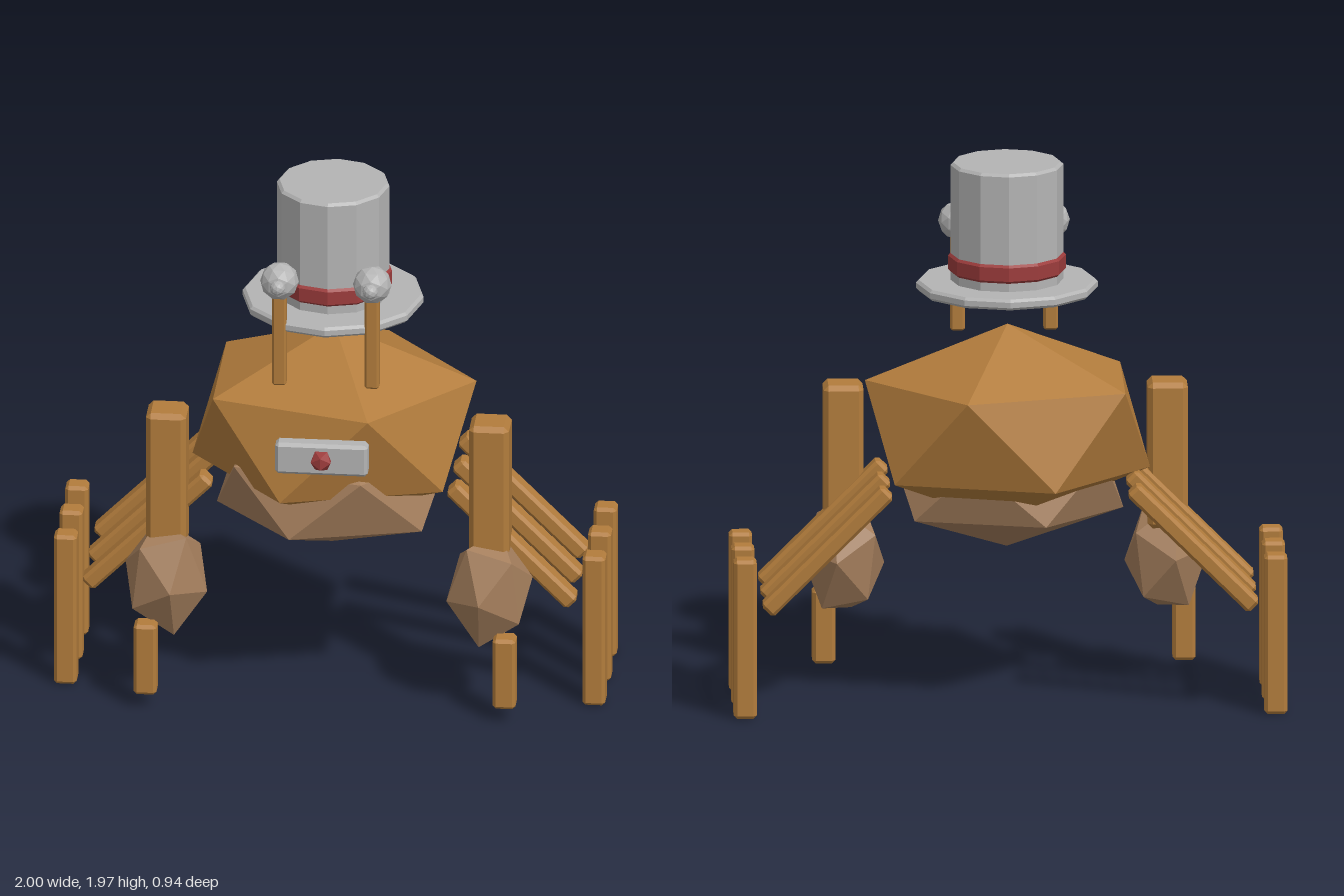
import * as THREE from 'three';
import { ConvexGeometry } from 'three/addons/geometries/ConvexGeometry.js';

const paint = (name, color) => {
  const m = new THREE.MeshStandardMaterial({ color, flatShading: true });
  m.name = name;
  return m;
};

// Twelve corners of an upright icosahedron with a ring corner on +x
function icoPoints() {
  const pts = [new THREE.Vector3(0, 1, 0), new THREE.Vector3(0, -1, 0)];
  const h = 1 / Math.sqrt(5), r = 2 * h;
  for (let i = 0; i < 5; i++) {
    const a = (i * Math.PI * 2) / 5, b = a + Math.PI / 5;
    pts.push(new THREE.Vector3(r * Math.cos(a), h, r * Math.sin(a)));
    pts.push(new THREE.Vector3(r * Math.cos(b), -h, r * Math.sin(b)));
  }
  return pts;
}

// Faceted stone stretched by its radii
const rock = (rx, ry, rz) =>
  new ConvexGeometry(icoPoints().map((p) => p.multiply(new THREE.Vector3(rx, ry, rz))));

// Tilted stone fitted to a box of half sizes, mirrored by side
function tiltedRock(half, side) {
  const turn = new THREE.Euler(0, 0.85, 0.16, 'ZYX');
  const pts = icoPoints().map((p) => p.applyAxisAngle(new THREE.Vector3(0, 0, 1), 0.554).applyEuler(turn));
  const size = new THREE.Box3().setFromPoints(pts).max;
  return new ConvexGeometry(pts.map((p) => p.divide(size).multiply(half).multiply(new THREE.Vector3(side, 1, 1))));
}

// Box with chamfered edges
function bevelBox(w, h, d, b = 0.012) {
  const pts = [];
  for (const x of [-1, 1]) for (const y of [-1, 1]) for (const z of [-1, 1]) {
    for (let axis = 0; axis < 3; axis++) {
      const c = [0, 1, 2].map((i) => [w, h, d][i] / 2 - (i === axis ? 0 : b));
      pts.push(new THREE.Vector3(x * c[0], y * c[1], z * c[2]));
    }
  }
  return new ConvexGeometry(pts);
}

// Twelve-sided disc with chamfered rims
function bevelDisc(r, y0, y1, b = 0.01) {
  const profile = [[0, y0], [r - b, y0], [r, y0 + b], [r, y1 - b], [r - b, y1], [0, y1]];
  return new THREE.LatheGeometry(profile.map(([x, y]) => new THREE.Vector2(x, y)), 12);
}

export function createModel() {
  const model = new THREE.Group();
  model.name = 'hattedCrab';
  const brown = paint('brown', 0xb27c3c);
  const tan = paint('tan', 0xa47e5c);
  const grey = paint('grey', 0xb4b4b4);
  const red = paint('red', 0x9c3c3c);

  const add = (name, geometry, material, x, y, z) => {
    const mesh = new THREE.Mesh(geometry, material);
    mesh.name = name;
    mesh.position.set(x, y, z);
    model.add(mesh);
    return mesh;
  };

  // Shell and belly
  add('shell', rock(0.575, 0.37, 0.475), brown, 0, 1.017, -0.065);
  add('belly', rock(0.47, 0.253, 0.365), tan, 0, 0.803, -0.01);

  // Mouth plate with its round nose
  add('mouthPlate', bevelBox(0.335, 0.122, 0.064), grey, 0, 1.07, 0.401);
  add('nose', new THREE.IcosahedronGeometry(0.042, 0), red, 0, 1.07, 0.433);

  // Hat
  add('hatBrim', bevelDisc(0.328, 1.5, 1.54), grey, 0, 0, -0.014);
  add('hatCrown', bevelDisc(0.204, 1.53, 1.975), grey, 0, 0, -0.014);
  add('hatBand', bevelDisc(0.213, 1.57, 1.64), red, 0, 0, -0.014);

  for (const side of [1, -1]) {
    const prefix = side > 0 ? 'left' : 'right';

    // Eye on a stalk
    add(prefix + 'EyeStalk', bevelBox(0.052, 0.36, 0.052, 0.008), brown, side * 0.168, 1.47, 0.255);
    add(prefix + 'Eye', new THREE.IcosahedronGeometry(0.07, 1), grey, side * 0.168, 1.695, 0.255);
    add(prefix + 'Pupil', new THREE.IcosahedronGeometry(0.028, 1), grey, side * 0.168, 1.7, 0.329);

    // Front arm, claw and tip
    add(prefix + 'Arm', bevelBox(0.145, 0.54, 0.145, 0.018), brown, side * 0.585, 0.855, 0.145);
    add(prefix + 'Claw', tiltedRock(new THREE.Vector3(0.152, 0.205, 0.152), side), tan, side * 0.585, 0.472, 0.18);
    add(prefix + 'ClawTip', bevelBox(0.083, 0.275, 0.083), brown, side * 0.65, 0.195, 0.278);

    // Three walking legs
    for (const z of [0.093, -0.12, -0.333]) {
      const thigh = add(prefix + 'UpperLeg', bevelBox(0.062, 0.62, 0.078), brown, side * 0.66, 0.617, z);
      thigh.rotation.z = side * Math.PI / 4;
      add(prefix + 'LowerLeg', bevelBox(0.083, 0.588, 0.083), brown, side * 0.957, 0.296, z);
    }
  }
  return model;
}
